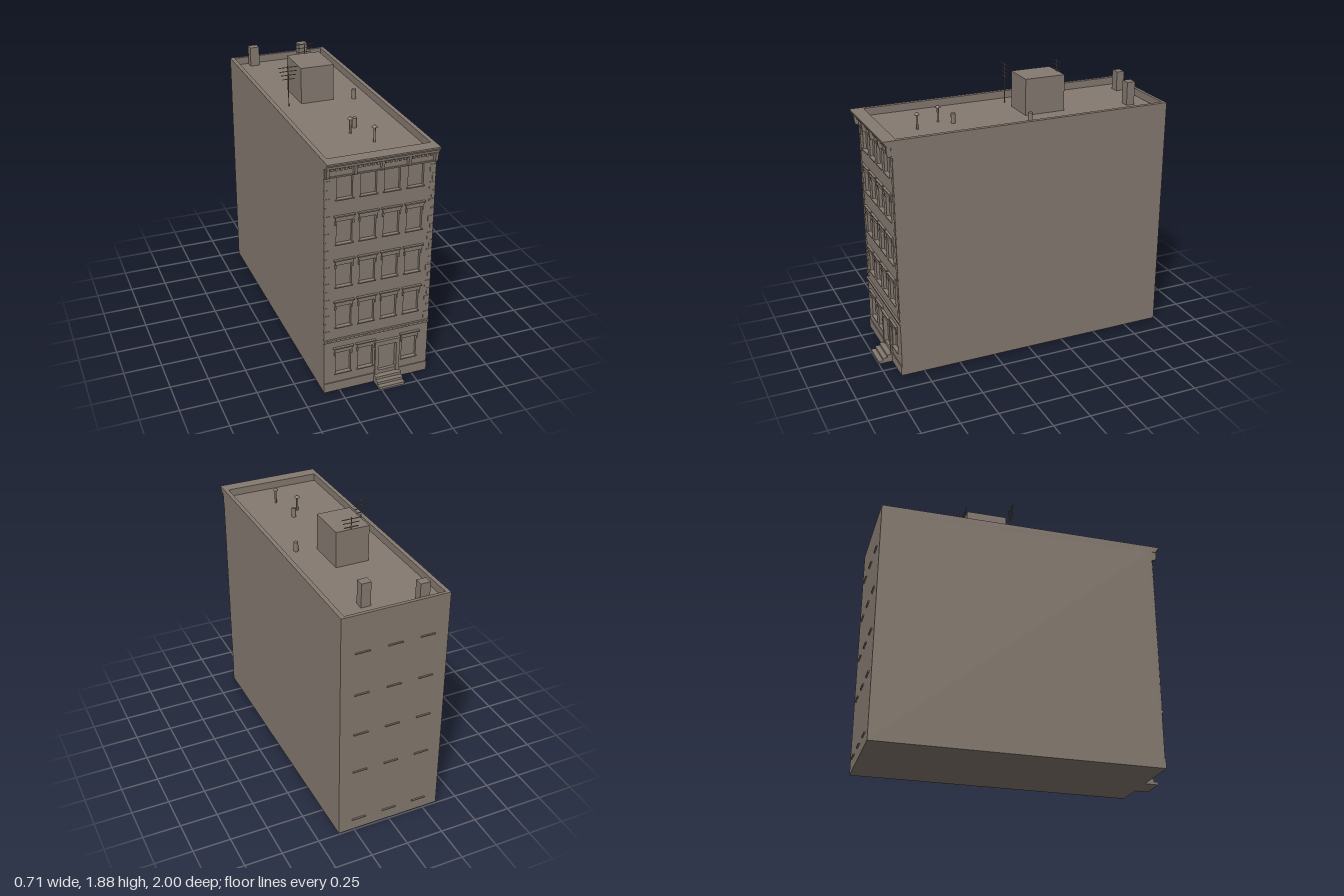
import * as THREE from 'three';

export function createModel() {
  const model = new THREE.Group();
  model.name = 'apartmentBuilding';
  const stone = new THREE.MeshStandardMaterial({ color: 0x857a70 });
  stone.name = 'warm grey stone';

  const add = (name, geo, parent = model) => {
    const m = new THREE.Mesh(geo, stone);
    m.name = name;
    parent.add(m);
    return m;
  };
  // Box given by its limits on each axis
  const box = (name, x0, x1, y0, y1, z0, z1, parent) => {
    const m = add(name, new THREE.BoxGeometry(x1 - x0, y1 - y0, z1 - z0), parent);
    m.position.set((x0 + x1) / 2, (y0 + y1) / 2, (z0 + z1) / 2);
    return m;
  };
  const group = (name) => {
    const g = new THREE.Group();
    g.name = name;
    model.add(g);
    return g;
  };
  // Profile in (z, y), extruded along x
  const extrudeX = (name, pts, x0, x1, parent) => {
    const shape = new THREE.Shape(pts.map(([z, y]) => new THREE.Vector2(-z, y)));
    const geo = new THREE.ExtrudeGeometry(shape, { depth: x1 - x0, bevelEnabled: false });
    geo.rotateY(Math.PI / 2);
    geo.translate(x0, 0, 0);
    return add(name, geo, parent);
  };

  const W = 0.355, BACK = -0.99, FRONT = 0.9, DECK = 1.56, TOP = 1.61;
  const columns = [-0.226, -0.075, 0.075, 0.226];
  const floors = [[0.13, 0.29], [0.475, 0.63], [0.765, 0.92], [1.06, 1.215], [1.355, 1.5]];
  const HALF = 0.05;

  // Main block and parapet
  box('mainBlock', -W, W, 0, DECK, BACK, 0.88);
  for (const s of [-1, 1]) box('sideParapet', Math.min(s * W, s * 0.327), Math.max(s * W, s * 0.327), DECK, TOP, BACK, 0.87);
  box('backParapet', -0.327, 0.327, DECK, TOP, BACK, -0.968);
  box('frontParapet', -W, W, DECK, TOP, 0.87, 0.88);

  // Front wall with window and door openings
  const rect = (C, x0, x1, y0, y1) => {
    const p = new C();
    p.moveTo(x0, y0).lineTo(x1, y0).lineTo(x1, y1).lineTo(x0, y1).closePath();
    return p;
  };
  const wall = rect(THREE.Shape, -W, W, 0, TOP);
  wall.holes.push(rect(THREE.Path, 0.012, 0.135, 0.08, 0.27));
  const windows = [];
  floors.forEach(([y0, y1], f) => columns.forEach((x, c) => {
    if (f === 0 && c === 2) return;
    windows.push({ x, y0, y1, f });
    wall.holes.push(rect(THREE.Path, x - HALF, x + HALF, y0, y1));
  }));
  const wallGeo = new THREE.ExtrudeGeometry(wall, { depth: 0.02, bevelEnabled: false });
  wallGeo.translate(0, 0, 0.88);
  add('frontWall', wallGeo);

  // Window sills, flared lintels and small consoles
  const trim = group('windowTrim');
  for (const { x, y0, y1, f } of windows) {
    box('sill', x - 0.058, x + 0.058, y0 - 0.007, y0, 0.88, 0.908, trim);
    if (f === 4) continue;
    const lintel = new THREE.Shape();
    lintel.moveTo(x - 0.054, y1).lineTo(x + 0.054, y1).lineTo(x + 0.063, y1 + 0.028).lineTo(x - 0.063, y1 + 0.028).closePath();
    const g = new THREE.ExtrudeGeometry(lintel, { depth: 0.01, bevelEnabled: false });
    g.translate(0, 0, FRONT);
    add('lintel', g, trim);
    box('lintelCap', x - 0.067, x + 0.067, y1 + 0.028, y1 + 0.036, FRONT, 0.917, trim);
    for (const s of [-1, 1]) box('console', x + s * 0.055 - 0.005, x + s * 0.055 + 0.005, y1 - 0.025, y1, FRONT, 0.908, trim);
  }

  // Corner quoins, alternating wide and narrow
  const quoins = group('quoins');
  for (let i = 0; i < 19; i++) {
    const y = 0.41 + i * 0.057, w = i % 2 ? 0.022 : 0.038;
    box('quoinLeft', W - w, W, y, y + 0.045, FRONT, 0.903, quoins);
    box('quoinRight', -W, -W + w, y, y + 0.045, FRONT, 0.903, quoins);
  }

  // Plinth and belt course
  box('plinth', -W, -0.015, 0, 0.065, FRONT, 0.906);
  box('plinth', 0.16, W, 0, 0.065, FRONT, 0.906);
  extrudeX('beltCourse', [[0.9, 0.37], [0.907, 0.37], [0.907, 0.38], [0.913, 0.385], [0.913, 0.392], [0.9, 0.392]], -W, W);

  // Entrance with surround and steps
  const door = group('entrance');
  box('pilaster', -0.01, 0.012, 0.055, 0.27, FRONT, 0.912, door);
  box('pilaster', 0.135, 0.157, 0.055, 0.27, FRONT, 0.912, door);
  box('doorHead', -0.01, 0.157, 0.27, 0.298, FRONT, 0.912, door);
  box('doorHeadCap', -0.015, 0.162, 0.298, 0.306, FRONT, 0.918, door);
  box('doorLeaf', 0.022, 0.125, 0.08, 0.262, 0.88, 0.886, door);
  box('threshold', 0.012, 0.135, 0.055, 0.08, FRONT, 0.906, door);
  [[1, 0, 0.018], [0.97, 0.018, 0.036], [0.94, 0.036, 0.055]].forEach(([z, y0, y1]) =>
    box('step', -0.015, 0.16, y0, y1, FRONT, z, door));

  // Cornice with brackets and dentils
  const cornice = group('cornice');
  extrudeX('corniceMoulding', [[0.9, 1.568], [0.935, 1.568], [0.938, 1.584], [0.947, 1.588],
    [0.949, 1.597], [0.957, 1.6], [0.957, TOP], [0.9, TOP]], -W, W, cornice);
  box('frieze', -W, W, 1.502, 1.568, FRONT, 0.908, cornice);
  box('friezeBand', -W, W, 1.502, 1.511, FRONT, 0.914, cornice);
  const brackets = [-0.341, -0.17, 0, 0.17, 0.341];
  brackets.forEach((x, i) => {
    extrudeX('bracket', [[0.905, 1.505], [0.928, 1.509], [0.934, 1.525], [0.938, 1.568], [0.905, 1.568]], x - 0.009, x + 0.009, cornice);
    if (i === 4) return;
    const step = (brackets[i + 1] - x) / 6;
    for (let k = 1; k < 6; k++) box('dentil', x + k * step - 0.007, x + k * step + 0.007, 1.548, 1.568, 0.905, 0.924, cornice);
  });

  // Rear window sills on small corbels
  const rear = group('rearSills');
  for (const y of [0.083, 0.475, 0.765, 1.06, 1.355]) for (const x of [-0.215, 0, 0.215]) {
    box('rearSill', x - 0.048, x + 0.048, y - 0.004, y + 0.002, -1, BACK, rear);
    for (const s of [-1, 1]) box('corbel', x + s * 0.042 - 0.004, x + s * 0.042 + 0.004, y - 0.008, y - 0.004, -0.997, BACK, rear);
  }

  // Roof bulkhead and chimneys
  box('roofBulkhead', -0.135, 0.09, DECK, 1.802, -0.368, -0.09);
  box('chimney', -0.228, -0.163, DECK, 1.695, -0.963, -0.907);
  box('chimney', 0.1, 0.163, DECK, 1.718, -0.857, -0.8);

  // Round pipes and capped vents
  const cyl = (name, r, x, z, y0, y1, parent, rTop = r) => {
    const m = add(name, new THREE.CylinderGeometry(rTop, r, y1 - y0, 12), parent);
    m.position.set(x, (y0 + y1) / 2, z);
  };
  cyl('pipe', 0.015, 0.223, -0.062, DECK, 1.624);
  cyl('pipe', 0.015, 0.04, 0.393, DECK, 1.624);
  for (const [x, z] of [[-0.02, 0.473], [0.067, 0.643]]) {
    cyl('ventPipe', 0.007, x, z, DECK, 1.657);
    cyl('ventCap', 0.019, x, z, 1.655, 1.669, model, 0.006);
  }

  // Aerials: a mast with crossbars
  const aerial = (x, z, y0, y1, bars) => {
    const g = group('aerial');
    cyl('mast', 0.003, x, z, y0, y1, g);
    for (const [y, w] of bars) box('crossbar', x - w, x + w, y - 0.002, y + 0.002, z - 0.002, z + 0.002, g);
  };
  aerial(-0.225, -0.08, DECK, 1.835, [[1.825, 0.065], [1.798, 0.058], [1.772, 0.05], [1.745, 0.04]]);
  aerial(-0.015, -0.36, 1.8, 1.88, [[1.868, 0.065], [1.842, 0.055], [1.815, 0.047]]);

  return model;
}
